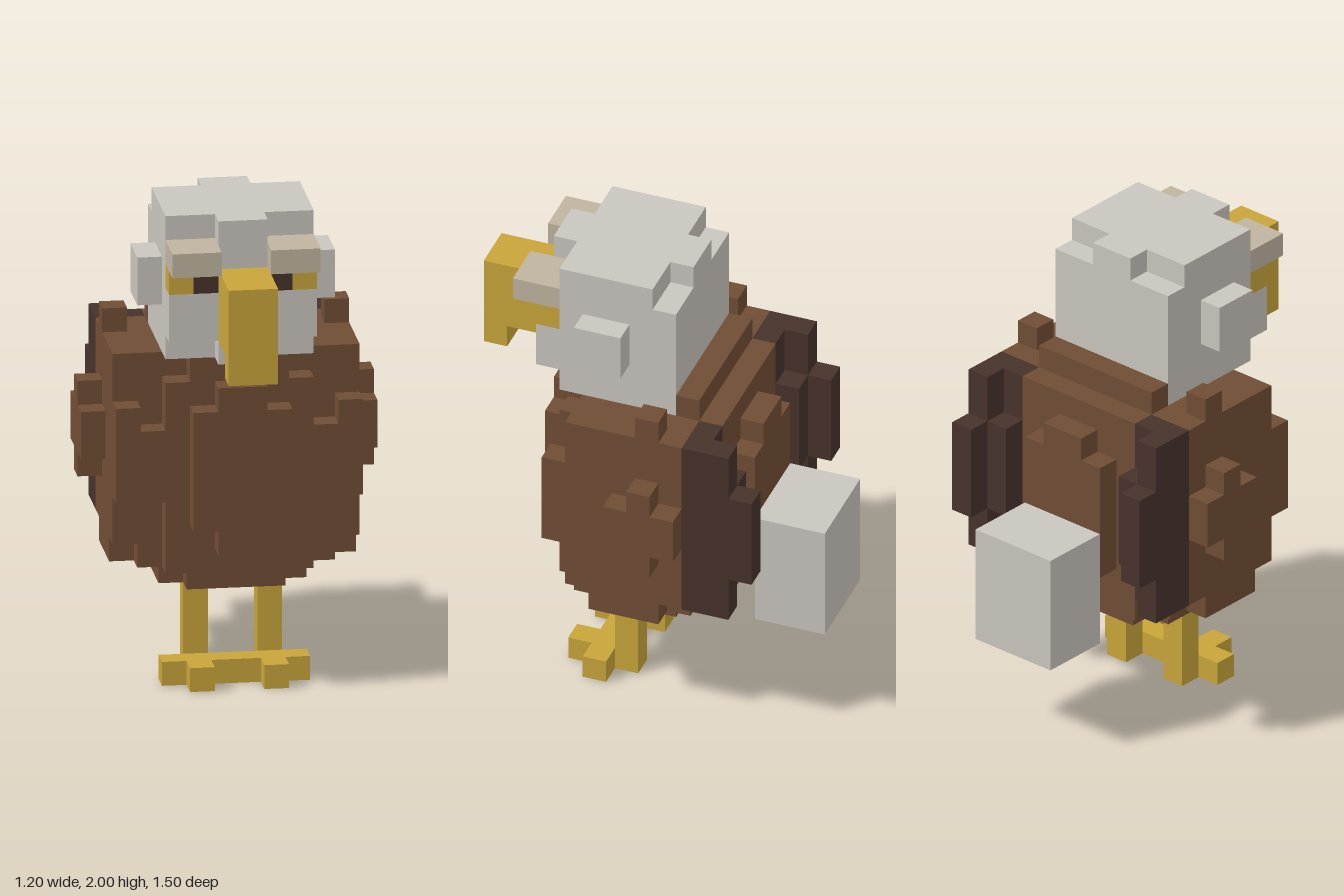
import * as THREE from 'three';
import { mergeGeometries } from 'three/addons/utils/BufferGeometryUtils.js';

function material(name, color) {
  const m = new THREE.MeshStandardMaterial({ color });
  m.name = name;
  return m;
}

// Block given by its extents [x0, x1, y0, y1, z0, z1]
function block([x0, x1, y0, y1, z0, z1]) {
  return new THREE.BoxGeometry(x1 - x0, y1 - y0, z1 - z0)
    .translate((x0 + x1) / 2, (y0 + y1) / 2, (z0 + z1) / 2);
}

export function createModel() {
  const model = new THREE.Group();
  model.name = 'bird';
  const brown = material('brown feathers', 0x704d35);
  const dark = material('dark brown', 0x47322b);
  const white = material('pale feathers', 0xc9c5be);
  const gold = material('gold', 0xc8a43a);
  const tan = material('tan', 0xc0b4a0);

  const part = (name, mat, blocks) => {
    const mesh = new THREE.Mesh(mergeGeometries(blocks.map(block)), mat);
    mesh.name = name;
    model.add(mesh);
  };
  // Centred block: half width, then y and z extents
  const mid = (w, ...yz) => [-w, w, ...yz];
  const pair = (name, mat, blocks) => {
    part('left' + name, mat, blocks);
    part('right' + name, mat, blocks.map(([a, b, ...r]) => [-b, -a, ...r]));
  };

  // Stepped round body
  part('belly', brown, [
    mid(0.3, 0.4, 0.5, -0.15, 0.15),
    mid(0.2, 0.4, 0.5, -0.25, 0.25),
    mid(0.5, 0.5, 0.6, -0.15, 0.15),
    mid(0.4, 0.5, 0.6, -0.25, 0.25),
    mid(0.3, 0.5, 0.6, -0.35, 0.35),
  ]);
  part('body', brown, [mid(0.5, 0.6, 1.4, -0.25, 0.25)]);
  part('breast', brown, [
    mid(0.5, 0.8, 1.1, 0.25, 0.35),
    mid(0.3, 0.6, 1.3, 0.25, 0.35),
    mid(0.2, 1.3, 1.4, 0.25, 0.35),
    mid(0.2, 0.7, 1.2, 0.35, 0.45),
    mid(0.1, 0.6, 1.3, 0.35, 0.45),
  ]);
  part('back', brown, [
    mid(0.3, 1.4, 1.5, -0.25, -0.15),
    mid(0.3, 0.6, 1.4, -0.35, -0.25),
    mid(0.2, 0.7, 1.2, -0.45, -0.35),
    mid(0.1, 0.6, 1.3, -0.45, -0.35),
  ]);

  // Wings: brown shoulders with dark trailing feathers
  pair('Shoulder', brown, [
    [0.4, 0.5, 1.1, 1.2, 0.25, 0.35],
    [0.4, 0.5, 1.4, 1.5, -0.15, -0.05],
    [0.5, 0.6, 0.9, 1.1, -0.25, 0.05],
    [0.5, 0.6, 0.8, 1.2, -0.15, -0.05],
  ]);
  pair('WingFeathers', dark, [
    [0.4, 0.5, 0.6, 1.4, -0.45, -0.25],
    [0.4, 0.5, 0.8, 1.2, -0.55, -0.45],
    [0.3, 0.4, 0.6, 1.4, -0.35, -0.25],
    [0.3, 0.4, 0.8, 1.2, -0.45, -0.35],
  ]);
  part('tail', white, [mid(0.2, 0.4, 0.9, -0.75, -0.45)]);

  // Head with notched corners
  part('head', white, [
    mid(0.3, 1.4, 2, -0.05, 0.35),
    mid(0.3, 1.4, 1.9, -0.15, -0.05),
    mid(0.1, 1.9, 2, -0.15, -0.05),
    mid(0.1, 1.4, 2, 0.35, 0.45),
  ]);
  pair('Cheek', white, [[0.1, 0.3, 1.5, 1.7, 0.35, 0.45]]);
  pair('Ear', white, [[0.3, 0.4, 1.6, 1.8, 0.05, 0.25]]);
  pair('Brow', tan, [[0.1, 0.3, 1.8, 1.9, 0.35, 0.55]]);
  pair('Eye', gold, [[0.2, 0.3, 1.7, 1.8, 0.35, 0.45]]);
  pair('Pupil', dark, [[0.1, 0.2, 1.7, 1.8, 0.35, 0.45]]);
  part('beak', gold, [
    mid(0.1, 1.5, 1.8, 0.45, 0.75),
    mid(0.1, 1.4, 1.5, 0.65, 0.75),
  ]);

  // Legs and feet
  pair('Leg', gold, [[0.1, 0.2, 0, 0.4, 0.05, 0.15]]);
  pair('Foot', gold, [
    [0, 0.3, 0, 0.1, 0.15, 0.25],
    [0.1, 0.2, 0, 0.1, 0.25, 0.35],
  ]);
  return model;
}
